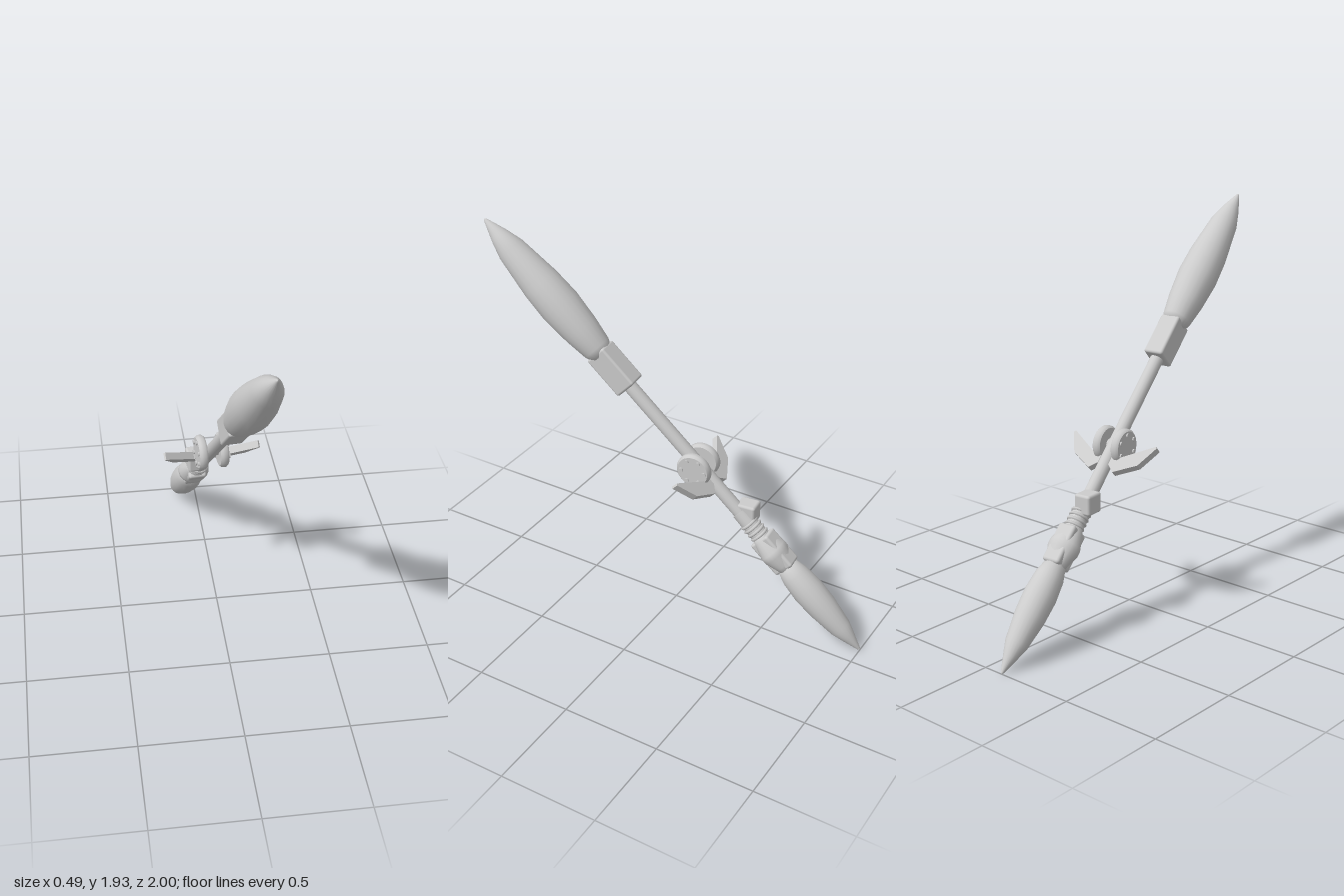
import * as THREE from 'three';
import { RoundedBoxGeometry } from 'three/addons/geometries/RoundedBoxGeometry.js';

export function createModel() {
  const model = new THREE.Group();
  model.name = 'doubleBladedStaff';
  const grey = new THREE.MeshStandardMaterial({ color: 0xcccccc });
  grey.name = 'light grey';

  // The staff is built upright along y from its lower tip, then leaned forward
  const LEAN = 0.806, YAW = 0.1046;
  const staff = new THREE.Group();
  staff.name = 'staff';
  staff.rotation.set(LEAN, YAW, 0, 'YXZ');
  staff.position.set(-0.103, 0.005, -1);
  model.add(staff);

  const add = (name, geometry, x = 0, y = 0, z = 0, parent = staff) => {
    const mesh = new THREE.Mesh(geometry, grey);
    mesh.name = name;
    mesh.position.set(x, y, z);
    parent.add(mesh);
    return mesh;
  };
  const lathe = (points, sides = 20) =>
    new THREE.LatheGeometry(points.map(([r, y]) => new THREE.Vector2(r, y)), sides);

  // Shaft and thicker lower sleeve
  add('shaft', new THREE.CylinderGeometry(0.034, 0.034, 1.3, 16), 0, 1.13);
  add('sleeve', new THREE.CylinderGeometry(0.04, 0.046, 0.2, 16), 0, 0.82);
  for (let i = 0; i < 4; i++) {
    const ring = add('gripRing', new THREE.TorusGeometry(0.043, 0.008, 6, 20), 0, 0.77 + i * 0.025);
    ring.rotation.x = Math.PI / 2;
  }

  // Upper blade head and its socket
  add('upperHead', lathe([
    [0, 1.93], [0.055, 1.935], [0.073, 1.975], [0.09, 2.09], [0.102, 2.24],
    [0.096, 2.38], [0.07, 2.595], [0.045, 2.68], [0.008, 2.78], [0, 2.787],
  ]));
  add('upperSocket', new RoundedBoxGeometry(0.107, 0.228, 0.125, 2, 0.012), 0, 1.845);

  // Lower blade head, pointing down
  add('lowerHead', lathe([
    [0, 0], [0.007, 0.006], [0.034, 0.085], [0.055, 0.15], [0.074, 0.29],
    [0.079, 0.4], [0.07, 0.5], [0.05, 0.57], [0, 0.6],
  ]));

  // Faceted hub above the lower head
  const hub = add('lowerHub', lathe([
    [0, 0.54], [0.05, 0.54], [0.058, 0.58], [0.08, 0.64], [0.08, 0.67],
    [0.056, 0.745], [0.045, 0.77], [0, 0.77],
  ]));
  hub.scale.z = 0.85;
  add('hubBlock', new RoundedBoxGeometry(0.095, 0.2, 0.118, 2, 0.014), 0, 0.655);

  // Small upright block on the back of the shaft
  const block = add('sideBlock', new RoundedBoxGeometry(0.088, 0.1, 0.1, 2, 0.013), -0.026, 0.893, -0.023);
  block.rotation.x = -LEAN;

  // Guard: a studded disc and a swept wing on each side
  const guard = new THREE.Group();
  guard.name = 'guard';
  guard.position.y = 1.226;
  staff.add(guard);
  const axle = add('axle', new THREE.CylinderGeometry(0.025, 0.025, 0.1, 16), 0, 0, 0, guard);
  axle.rotation.z = Math.PI / 2;

  const discGeometry = lathe([
    [0, -0.021], [0.078, -0.021], [0.078, -0.021], [0.088, -0.01], [0.088, 0.01],
    [0.078, 0.021], [0.078, 0.021], [0, 0.021],
  ], 28);
  const studGeometry = new THREE.CylinderGeometry(0.011, 0.011, 0.012, 10);

  const outline = (side) => {
    const points = [[0.03, -0.116], [0.07, -0.151], [0.185, -0.09],
      [0.243, 0.018], [0.235, 0.026], [0.08, -0.066], [0.03, -0.075]];
    return new THREE.Shape(points.map(([x, y]) => new THREE.Vector2(side * x, y)));
  };

  for (const side of [-1, 1]) {
    const label = side > 0 ? 'left' : 'right';
    const wheel = new THREE.Group();
    wheel.name = label + 'Wheel';
    wheel.position.x = side * 0.053;
    wheel.rotation.z = -side * Math.PI / 2;
    guard.add(wheel);
    add(label + 'Disc', discGeometry, 0, 0, 0, wheel);
    for (let i = 0; i < 6; i++) {
      const a = (i + 0.25) * Math.PI / 3;
      add('stud', studGeometry, Math.cos(a) * 0.06, 0.022, Math.sin(a) * 0.06, wheel);
    }
    const wing = new THREE.ExtrudeGeometry(outline(side), { depth: 0.036, bevelEnabled: false });
    add(label + 'Wing', wing, 0, 0, -0.018, guard);
  }
  return model;
}
